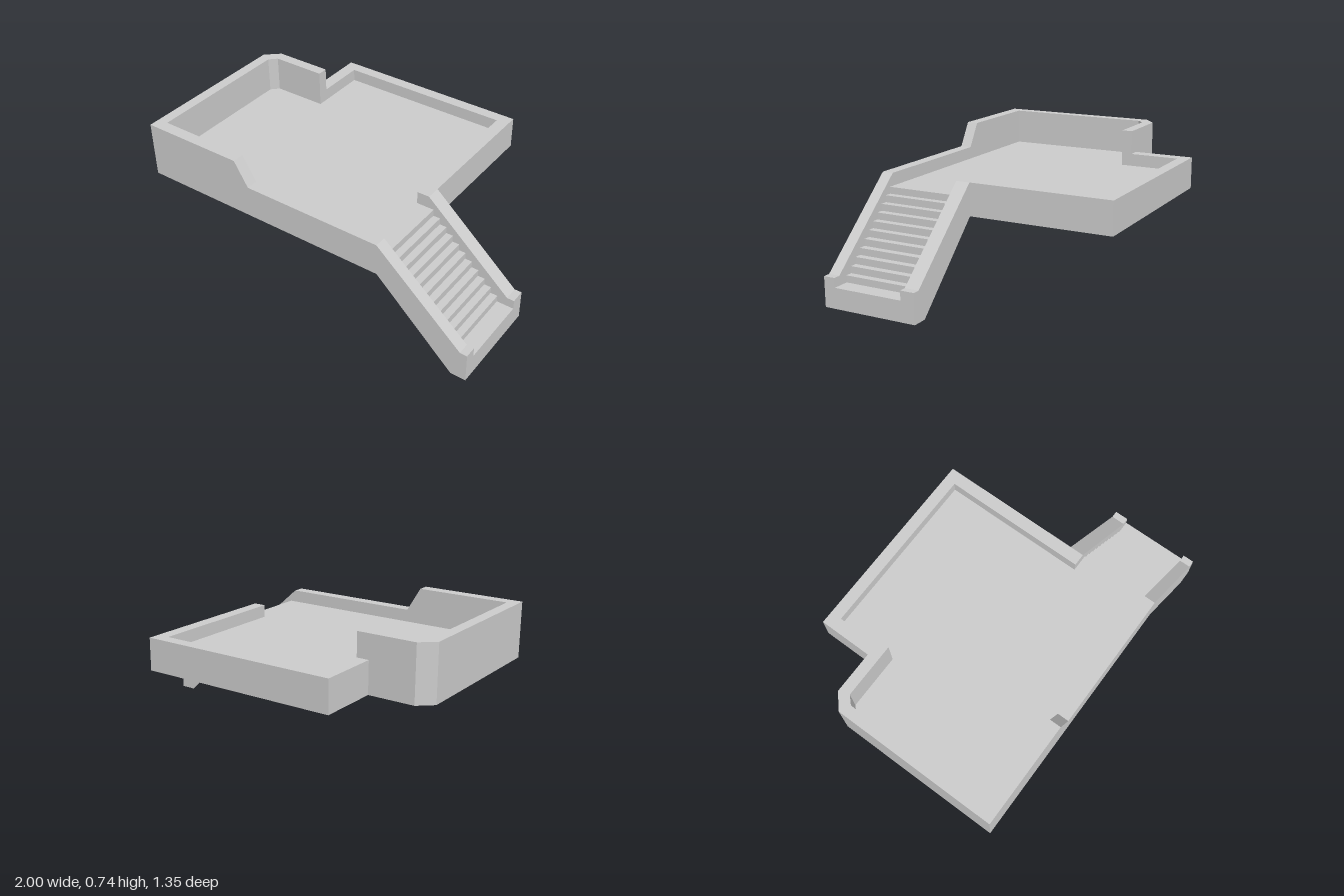
import * as THREE from 'three';

const FLOOR = 0.53, LOW = 0.6, HIGH = 0.735, BASE = 0.42, FOOT = 0.113;
const END = 0.995, Z0 = 0.675, Z1 = 0.61, Z2 = 0.21, Z3 = 0.13;

const material = new THREE.MeshStandardMaterial({ color: 0xcccccc, side: THREE.DoubleSide, flatShading: true });

// Piecewise linear height along x
const ramp = (...pts) => x => {
  for (let k = 1; k < pts.length; k++) {
    const [x0, y0] = pts[k - 1], [x1, y1] = pts[k];
    if (x <= x1) return x <= x0 ? y0 : y0 + (y1 - y0) * (x - x0) / (x1 - x0);
  }
  return pts[pts.length - 1][1];
};
const topAt = ramp([-0.41, HIGH], [-0.33, LOW], [0.47, LOW], [0.955, 0.165]);
const baseAt = ramp([0.47, BASE], [0.91, 0]);
const innerAt = ramp([0.46, FLOOR], [0.9, FOOT]);

// Skin a row of cross-sections with quads
function ribbon(rows) {
  const pos = [];
  for (let i = 0; i + 1 < rows.length; i++) {
    for (let j = 0; j + 1 < rows[i].length; j++) {
      const a = rows[i][j], b = rows[i][j + 1], c = rows[i + 1][j + 1], d = rows[i + 1][j];
      pos.push(...a, ...b, ...c, ...a, ...c, ...d);
    }
  }
  const g = new THREE.BufferGeometry();
  g.setAttribute('position', new THREE.Float32BufferAttribute(pos, 3));
  g.computeVertexNormals();
  return g;
}

// Wall section: outer face, cap and inner face, open underneath
function section(ox, oz, ix, iz, top = topAt(ox), base = baseAt(ox)) {
  return [[ox, base, oz], [ox, top, oz], [ix, top, iz], [ix, innerAt(ix), iz]];
}

const polygon = pts => new THREE.ShapeGeometry(new THREE.Shape(pts.map(p => new THREE.Vector2(...p))));

export function createModel() {
  const group = new THREE.Group();
  const add = (name, geometry) => {
    const mesh = new THREE.Mesh(geometry, material);
    mesh.name = name;
    group.add(mesh);
  };
  const stairX = [0.47, 0.5, 0.9, 0.91, 0.955, END];

  // Front parapet, from the foot of the stairs round the high left corner
  add('frontAndLeftWall', ribbon([
    ...[...stairX].reverse().map(x => section(x, Z0, x, Z1)),
    section(-0.33, Z0, -0.33, Z1),
    section(-0.41, Z0, -0.41, Z1),
    section(-1, Z0, -0.94, Z1),
    section(-1, -0.26, -0.94, -0.23),
    section(-0.92, -0.33, -0.9, -0.27),
    section(-0.66, -0.33, -0.66, -0.27),
    section(-0.66, -0.33, -0.66, -0.27, HIGH, LOW),
    section(-0.59, -0.33, -0.59, -0.27, HIGH, LOW),
  ]));
  add('highWallEnd', ribbon([-0.33, -0.27].map(z => [[-0.59, FLOOR, z], [-0.59, HIGH, z]])));

  // Low wall round the back, continuing down the stairs
  add('backAndRightWall', ribbon([
    section(-0.66, -0.33, -0.59, -0.33, LOW),
    section(-0.66, -Z0, -0.59, -Z1, LOW),
    section(0.47, -Z0, 0.4, -Z1),
    section(0.47, Z3, 0.4, Z2),
    ...stairX.map(x => section(x, Z3, x, Z2)),
  ]));

  // Floor inside the walls
  const floor = polygon([
    [-0.94, -Z1], [0.5, -Z1], [0.5, -Z2], [0.4, -Z2], [0.4, Z1],
    [-0.59, Z1], [-0.59, 0.27], [-0.9, 0.27], [-0.94, 0.23],
  ]);
  floor.rotateX(-Math.PI / 2).translate(0, FLOOR, 0);
  add('floor', floor);

  // Steps
  const risers = 11, rise = (FLOOR - FOOT) / risers;
  const profile = [];
  for (let k = 0; k < risers; k++) {
    const x = 0.5 + 0.04 * k;
    profile.push([x, FLOOR - rise * k], [x, FLOOR - rise * (k + 1)]);
  }
  profile.push([END, FOOT]);
  add('steps', ribbon(profile.map(([x, y]) => [[x, y, Z2], [x, y, Z1]])));

  // End face at the foot of the stairs
  const foot = polygon([
    [-Z0, 0], [-Z3, 0], [-Z3, 0.165], [-Z2, 0.165],
    [-Z2, FOOT], [-Z1, FOOT], [-Z1, 0.165], [-Z0, 0.165],
  ]);
  foot.rotateY(Math.PI / 2).translate(END, 0, 0);
  add('stairEnd', foot);

  return group;
}
